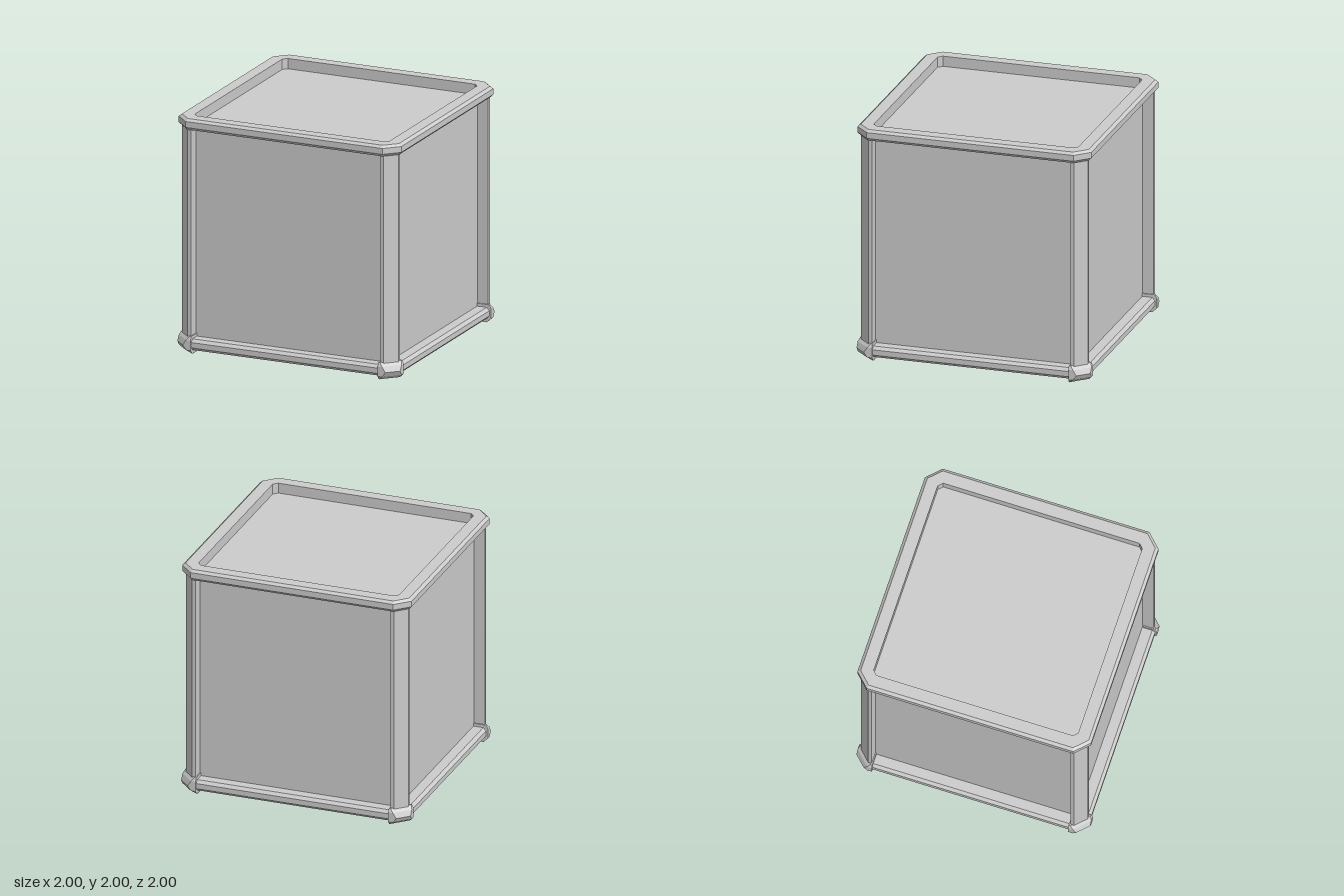
import * as THREE from 'three';

const material = new THREE.MeshStandardMaterial({ color: 0xcccccc, flatShading: true });

// Skins a list of matching closed sections; capped at the ends unless it is a ring.
function loft(sections, ring) {
  const pos = [];
  const tri = (a, b, c) => pos.push(...a, ...b, ...c);
  const n = sections.length, m = sections[0].length;
  for (let i = 0; i < (ring ? n : n - 1); i++) {
    const s = sections[i], t = sections[(i + 1) % n];
    for (let j = 0; j < m; j++) {
      const k = (j + 1) % m;
      tri(s[j], s[k], t[k]);
      tri(s[j], t[k], t[j]);
    }
  }
  if (!ring) {
    const s = sections[0], t = sections[n - 1];
    for (let j = 1; j < m - 1; j++) {
      tri(s[0], s[j + 1], s[j]);
      tri(t[0], t[j], t[j + 1]);
    }
  }
  const geometry = new THREE.BufferGeometry();
  geometry.setAttribute('position', new THREE.Float32BufferAttribute(pos, 3));
  geometry.computeVertexNormals();
  return geometry;
}

// Sweeps a [radius, height] profile around a square with cut corners.
function squareRing(profile) {
  const sections = [];
  for (let q = 0; q < 4; q++) {
    for (const first of [true, false]) {
      sections.push(profile.map(([r, y]) => {
        const cut = 0.035 + (r - 0.875) * 0.65;
        let x = first ? r : r - cut, z = first ? r - cut : r;
        for (let k = 0; k < q; k++) [x, z] = [-z, x];
        return [x, y, z];
      }));
    }
  }
  return loft(sections, true);
}

// L-shaped faceted foot wrapped around one bottom corner: [radius, height, corner cut].
function footGeometry() {
  const profile = [
    [0.85, 0, 0.005], [0.965, 0, 0.13], [1, 0.035, 0.12], [1, 0.075, 0.09],
    [1, 0.12, 0.12], [0.985, 0.15, 0.13], [0.85, 0.15, 0.005],
  ];
  const end = 0.84;
  return loft([
    profile.map(([r, y]) => [r, y, end]),
    profile.map(([r, y, c]) => [r, y, r - c]),
    profile.map(([r, y, c]) => [r - c, y, r]),
    profile.map(([r, y]) => [end, y, r]),
  ], false);
}

// Corner post with a broad outer chamfer and a narrow inner one.
function postGeometry() {
  const shape = new THREE.Shape([
    [0.85, 0.97], [0.85, 0.87], [0.87, 0.85], [0.97, 0.85], [0.97, 0.88], [0.88, 0.97],
  ].map(([x, z]) => new THREE.Vector2(x, z)));
  const geometry = new THREE.ExtrudeGeometry(shape, { depth: 1.8, bevelEnabled: false });
  return geometry.rotateX(Math.PI / 2).translate(0, 1.91, 0);
}

export function createModel() {
  const model = new THREE.Group();
  model.name = 'openBottomCrate';
  const add = (name, geometry) => {
    const mesh = new THREE.Mesh(geometry, material);
    mesh.name = name;
    model.add(mesh);
    return mesh;
  };

  // Raised rim around the lid and the rail around the open base
  add('topFrame', squareRing([
    [0.875, 1.905], [0.975, 1.905], [1, 1.93], [1, 1.98], [0.975, 2], [0.875, 2],
  ]));
  add('bottomRail', squareRing([
    [0.87, 0.03], [0.96, 0.03], [0.985, 0.055], [0.985, 0.1], [0.96, 0.125], [0.87, 0.125],
    [0.855, 0.11], [0.855, 0.045],
  ]));

  // Recessed lid
  add('lidPanel', new THREE.BoxGeometry(1.76, 0.01, 1.76)).position.y = 1.907;

  // Four walls, posts and feet
  const wall = new THREE.BoxGeometry(1.74, 1.8, 0.01).translate(0, 1.005, 0.87);
  const post = postGeometry();
  const foot = footGeometry();
  for (let i = 0; i < 4; i++) {
    const angle = i * Math.PI / 2;
    add('wallPanel', wall).rotation.y = angle;
    add('cornerPost', post).rotation.y = angle;
    add('cornerFoot', foot).rotation.y = angle;
  }
  return model;
}
